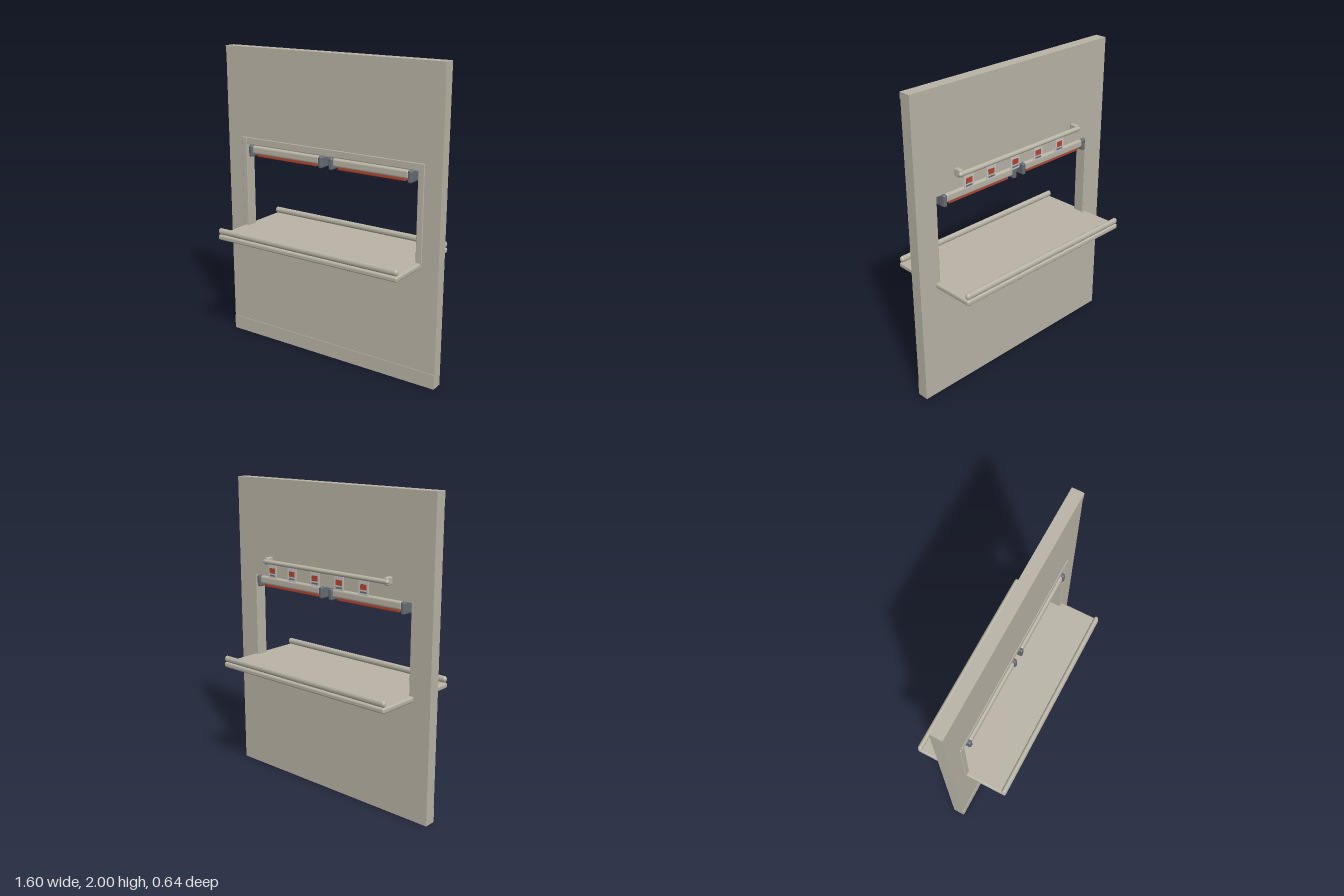
import * as THREE from 'three';
import { RoundedBoxGeometry } from 'three/addons/geometries/RoundedBoxGeometry.js';

export function createModel() {
  const mat = (name, color) => {
    const m = new THREE.MeshStandardMaterial({ color });
    m.name = name;
    return m;
  };
  const steel = mat('warm steel', 0xb8b3a5);
  const dark = mat('dark grey', 0x666b73);
  const red = mat('heater red', 0xb5442f);
  const pale = mat('pale ticket', 0xc4c4c0);

  const root = new THREE.Group();
  root.name = 'servingHatch';

  const add = (parent, name, geo, material, x = 0, y = 0, z = 0) => {
    const m = new THREE.Mesh(geo, material);
    m.name = name;
    m.position.set(x, y, z);
    parent.add(m);
    return m;
  };
  // Box given by its limits; r > 0 rounds the edges
  const block = (parent, name, material, [x0, x1], [y0, y1], [z0, z1], r = 0) => {
    const size = [x1 - x0, y1 - y0, z1 - z0];
    const geo = r ? new RoundedBoxGeometry(...size, 3, r) : new THREE.BoxGeometry(...size);
    return add(parent, name, geo, material, (x0 + x1) / 2, (y0 + y1) / 2, (z0 + z1) / 2);
  };
  // Horizontal rail along x with rounded ends and an oval section
  const rail = (parent, name, length, ry, rz, y, z) => {
    const geo = new THREE.CapsuleGeometry(1, length / rz - 2, 6, 20);
    geo.rotateZ(Math.PI / 2).scale(rz, ry, rz);
    return add(parent, name, geo, steel, 0, y, z);
  };

  // Wall around the opening
  const wallZ = [-0.037, 0.037];
  block(root, 'lowerWall', steel, [-0.8, 0.8], [0, 0.78], wallZ);
  block(root, 'upperWall', steel, [-0.8, 0.8], [1.36, 2], wallZ);
  block(root, 'baseboard', steel, [-0.8, 0.8], [0, 0.097], [0.03, 0.041]);
  block(root, 'topTrim', steel, [-0.8, 0.8], [1.957, 2], [0.03, 0.041]);

  for (const s of [-1, 1]) {
    const span = (a, b) => (s > 0 ? [a, b] : [-b, -a]);
    block(root, 'sideWall', steel, span(0.65, 0.8), [0.78, 1.36], wallZ);
    block(root, 'frameJamb', steel, span(0.645, 0.687), [0.77, 1.41], [-0.036, 0.042], 0.005);
  }
  block(root, 'frameHeader', steel, [-0.645, 0.645], [1.363, 1.41], [-0.036, 0.041], 0.005);

  // Pass-through shelf with a guard rail along each long edge
  block(root, 'shelf', steel, [-0.68, 0.68], [0.765, 0.8], [-0.318, 0.318], 0.012);
  for (const s of [-1, 1]) rail(root, 'shelfRail', 1.36, 0.021, 0.016, 0.822, s * 0.302);

  // Two heat lamps under the header
  for (const s of [-1, 1]) {
    const lamp = new THREE.Group();
    lamp.name = 'heatLamp';
    lamp.position.x = s * 0.32;
    root.add(lamp);
    block(lamp, 'lampHousing', steel, [-0.27, 0.27], [1.307, 1.361], [-0.056, 0.056], 0.014);
    block(lamp, 'heatingElement', red, [-0.24, 0.24], [1.288, 1.312], [-0.043, 0.043], 0.006);
    for (const e of [-1, 1]) {
      block(lamp, 'lampEndCap', dark, [e * 0.28 - 0.014, e * 0.28 + 0.014],
        [1.286, 1.362], [-0.062, 0.062], 0.01);
    }
  }

  // Ticket rail on the back
  rail(root, 'ticketRail', 1.04, 0.015, 0.015, 1.47, -0.086);
  for (const x of [-0.495, 0.495]) {
    block(root, 'ticketRailBracket', steel, [x - 0.015, x + 0.015], [1.446, 1.496], [-0.088, -0.036], 0.008);
  }

  // Hanging tickets, each with a red panel and dark strips
  for (const x of [-0.33, -0.135, 0.065, 0.265, 0.44]) {
    const ticket = new THREE.Group();
    ticket.name = 'ticket';
    ticket.position.set(x, 1.412, -0.083);
    root.add(ticket);
    block(ticket, 'ticketCard', pale, [-0.038, 0.038], [-0.046, 0.046], [-0.002, 0.002]);
    block(ticket, 'ticketPanel', red, [-0.024, 0.024], [-0.014, 0.02], [-0.004, -0.001]);
    block(ticket, 'ticketStrip', dark, [-0.024, 0.024], [-0.034, -0.024], [-0.004, -0.001]);
  }

  return root;
}
